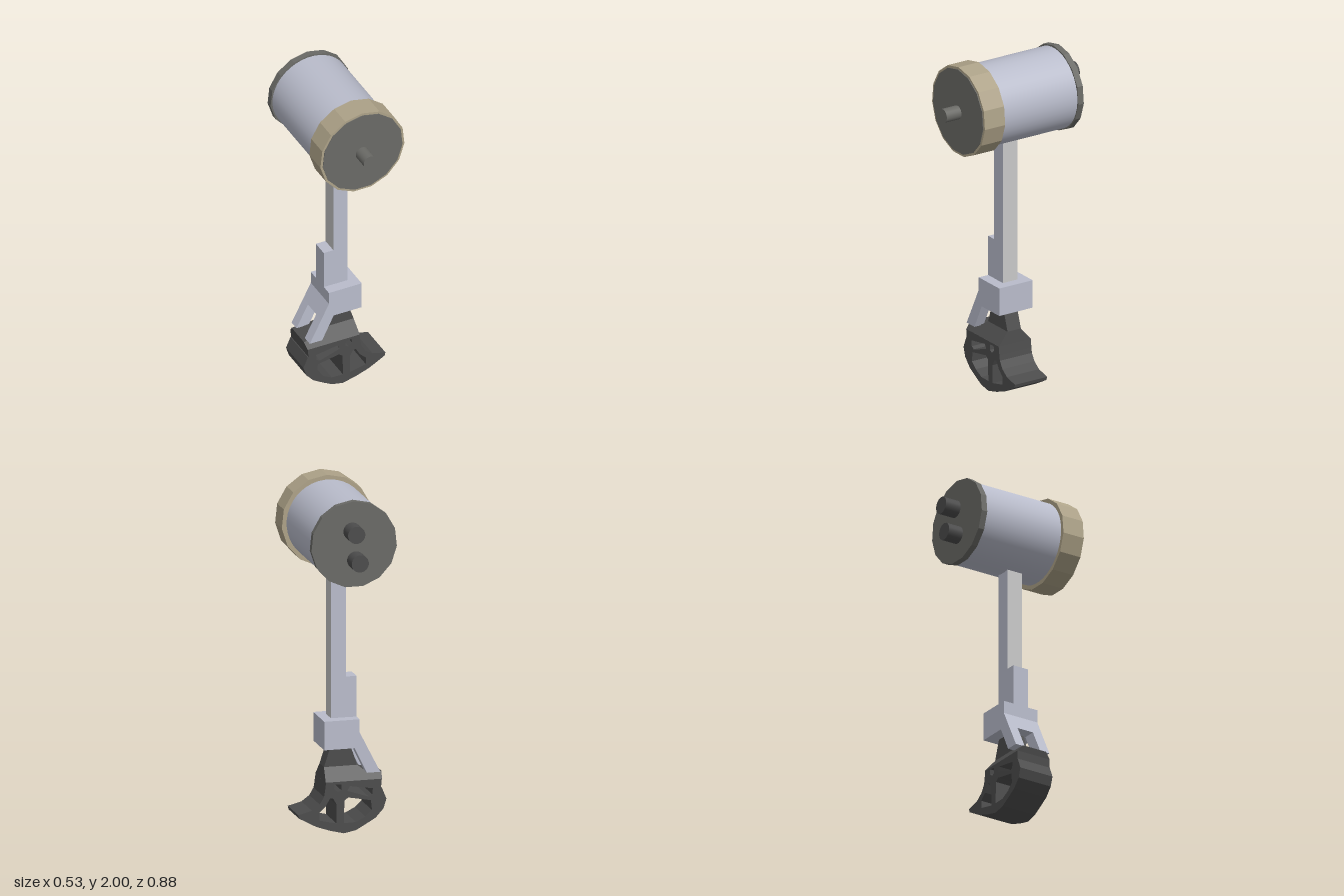
import * as THREE from 'three';

const mat = (name, color) => {
  const m = new THREE.MeshStandardMaterial({ color });
  m.name = name;
  return m;
};

export function createModel() {
  const model = new THREE.Group();
  const steel = mat('lavender steel', 0xb9bccb);
  const grey = mat('light grey', 0xc8c8c8);
  const tan = mat('tan', 0xada288);
  const cap = mat('cap grey', 0x6a6a66);
  const dark = mat('dark rubber', 0x4c4c4c);

  const add = (name, geo, material, parent = model) => {
    const mesh = new THREE.Mesh(geo, material);
    mesh.name = name;
    parent.add(mesh);
    return mesh;
  };
  const flat = (geo) => {
    const g = geo.index ? geo.toNonIndexed() : geo;
    g.computeVertexNormals();
    return g;
  };
  // Cylinder along z between two depths
  const drum = (name, material, r, z0, z1, x, y, sides, faceted, parent) => {
    let g = new THREE.CylinderGeometry(r, r, z1 - z0, sides, 1, false, Math.PI / sides);
    g.rotateX(Math.PI / 2);
    if (faceted) g = flat(g);
    add(name, g, material, parent).position.set(x, y, (z0 + z1) / 2);
  };
  const box = (name, material, x0, x1, y0, y1, z0, z1) =>
    add(name, new THREE.BoxGeometry(x1 - x0, y1 - y0, z1 - z0), material)
      .position.set((x0 + x1) / 2, (y0 + y1) / 2, (z0 + z1) / 2);
  const points = (list) => list.map(([x, y]) => new THREE.Vector2(x, y));
  // Front-view outline extruded between two depths
  const slab = (outline, z0, z1, holes = []) => {
    const shape = new THREE.Shape(points(outline));
    shape.holes = holes.map((h) => new THREE.Path(points(h)));
    const g = new THREE.ExtrudeGeometry(shape, { depth: z1 - z0, bevelEnabled: false });
    return g.translate(0, 0, z0);
  };

  // Motor housing
  const motor = new THREE.Group();
  motor.name = 'motor';
  model.add(motor);
  const cy = 1.735;
  drum('barrel', steel, 0.237, -0.305, 0.21, -0.002, cy, 40, false, motor);
  drum('frontBand', tan, 0.264, 0.2, 0.337, 0, cy, 15, true, motor);
  drum('frontCap', cap, 0.25, 0.33, 0.341, 0, cy, 15, true, motor);
  drum('rearCap', cap, 0.249, -0.342, -0.305, -0.003, cy, 15, true, motor);
  drum('shaft', cap, 0.04, 0.34, 0.44, -0.004, 1.728, 20, false, motor);
  drum('upperTerminal', dark, 0.05, -0.44, -0.34, 0.01, 1.813, 20, false, motor);
  drum('lowerTerminal', dark, 0.05, -0.435, -0.34, -0.012, 1.645, 20, false, motor);

  // Leg rod with grey sides
  box('rod', [grey, grey, steel, steel, steel, steel], -0.045, 0.043, 0.65, 1.52, -0.03, 0.067);
  box('rodStep', steel, -0.105, -0.045, 0.65, 0.89, -0.032, 0.066);

  // Ankle block and its forked brace
  box('ankleBlock', steel, -0.105, 0.1, 0.49, 0.655, -0.095, 0.13);
  add('braceRoot', slab(
    [[-0.105, 0.58], [-0.153, 0.484], [-0.08, 0.484], [-0.07, 0.5], [-0.07, 0.58]], -0.095, 0.13), steel);
  for (const [z0, z1] of [[-0.095, -0.035], [0.068, 0.13]]) {
    add('braceProng', slab(
      [[-0.151, 0.488], [-0.225, 0.343], [-0.147, 0.343], [-0.076, 0.488]], z0, z1), steel);
  }

  // Foot: narrow neck flaring to full width, sliced at each change of width
  const foot = new THREE.Group();
  foot.name = 'foot';
  model.add(foot);
  const Z0 = -0.09, Z1 = 0.126;
  const flare = (outline) => {
    const g = slab(outline, Z0, Z1);
    const p = g.attributes.position;
    for (let i = 0; i < p.count; i++) {
      const t = THREE.MathUtils.clamp((p.getY(i) - 0.3) / 0.075, 0, 1);
      p.setZ(i, p.getZ(i) > 0 ? Z1 - 0.063 * t : Z0 + 0.063 * t);
    }
    return flat(g);
  };
  add('neck', flare([[-0.11, 0.375], [0.083, 0.375], [0.045, 0.49], [-0.07, 0.49]]), dark, foot);
  add('instep', flare([[-0.235, 0.3], [0.09, 0.3], [0.083, 0.375], [-0.11, 0.375],
    [-0.145, 0.348], [-0.243, 0.337]]), dark, foot);
  add('cuff', slab([[-0.23, 0.245], [0.09, 0.301], [-0.235, 0.301]], Z0, Z1), dark, foot);

  // Curved sole with cut-outs
  const sole = [[-0.235, 0.25], [-0.262, 0.185], [-0.245, 0.13], [-0.2, 0.08], [-0.14, 0.045],
    [-0.085, 0.015], [-0.015, 0.002], [0.065, 0.022], [0.145, 0.05], [0.2, 0.08], [0.245, 0.105],
    [0.25, 0.125], [0.17, 0.145], [0.125, 0.178], [0.1, 0.22], [0.095, 0.25], [0.088, 0.301]];
  const cutouts = [
    [[-0.183, 0.25], [-0.05, 0.272], [-0.035, 0.245], [-0.16, 0.203], [-0.18, 0.215]],
    [[-0.172, 0.182], [-0.04, 0.207], [-0.018, 0.19], [-0.015, 0.06], [-0.085, 0.062], [-0.14, 0.09], [-0.178, 0.125]],
    [[0.028, 0.17], [0.045, 0.205], [0.065, 0.21], [0.09, 0.165], [0.128, 0.13], [0.127, 0.085], [0.028, 0.062]],
    [[0, 0.285], [0.038, 0.289], [0.042, 0.262], [0.02, 0.242], [0, 0.252]],
  ];
  add('sole', slab(sole, Z0, Z1, cutouts), dark, foot);

  return model;
}
